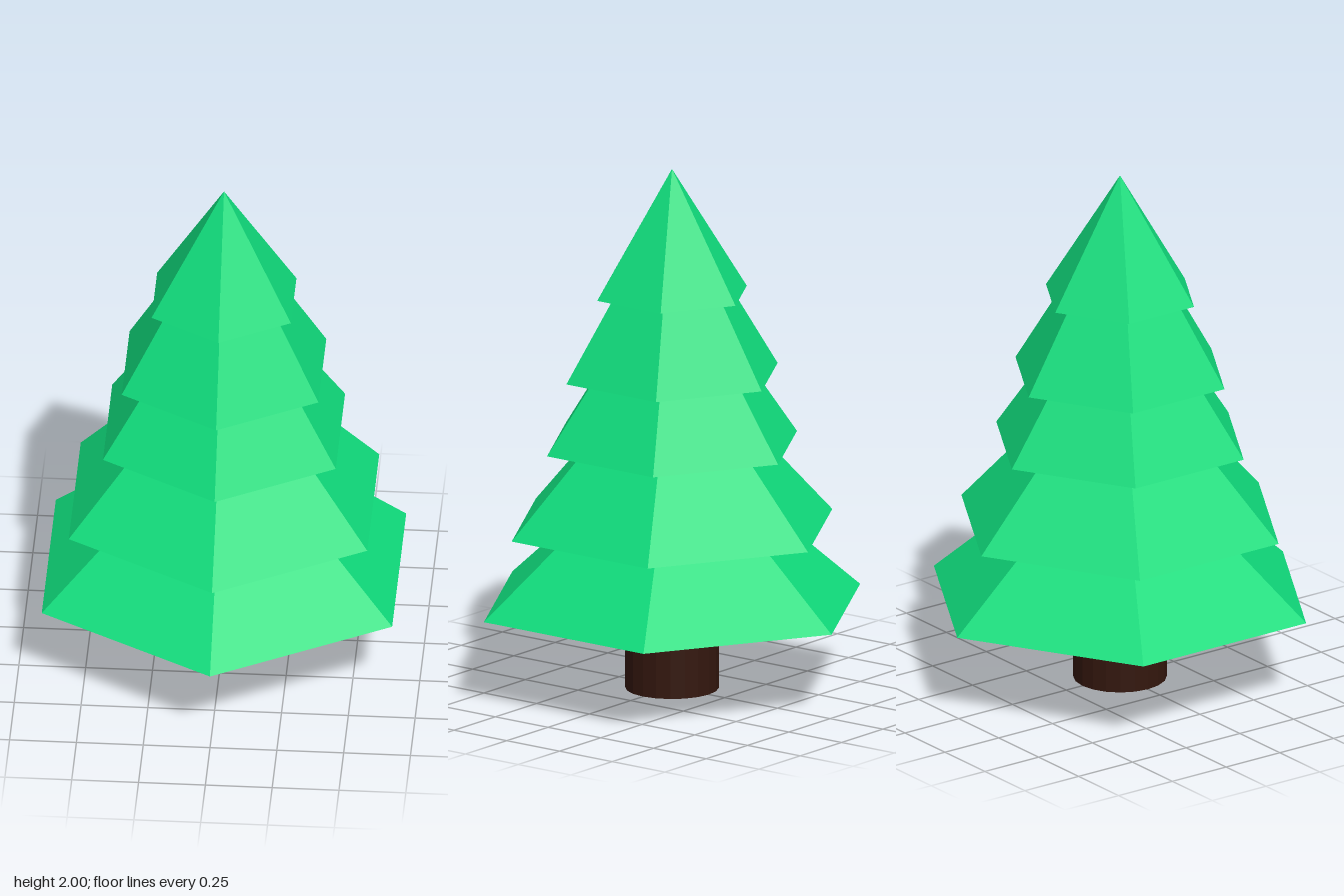
import * as THREE from 'three';

export function createModel() {
  const model = new THREE.Group();
  model.name = 'pineTree';

  const needles = new THREE.MeshStandardMaterial({ color: 0x10dc7c, flatShading: true });
  const bark = new THREE.MeshStandardMaterial({ color: 0x34170e, flatShading: true });

  // Trunk, running up into the lowest tier
  const trunkHeight = 0.5;
  const trunk = new THREE.Mesh(new THREE.CylinderGeometry(0.175, 0.175, trunkHeight, 20), bark);
  trunk.position.y = trunkHeight / 2;
  trunk.name = 'trunk';
  model.add(trunk);

  // Foliage: overlapping hexagonal pyramids, corners towards front and back
  const tiers = [
    // radius, base height, tip height
    [0.757, 0.325, 0.99],
    [0.645, 0.625, 1.33],
    [0.503, 0.94, 1.67],
    [0.425, 1.21, 1.91],
    [0.301, 1.52, 2.0],
  ];
  tiers.forEach(([radius, base, tip], i) => {
    const tier = new THREE.Mesh(new THREE.ConeGeometry(radius, tip - base, 6), needles);
    tier.position.y = (base + tip) / 2;
    tier.name = `foliageTier${i + 1}`;
    model.add(tier);
  });

  return model;
}
